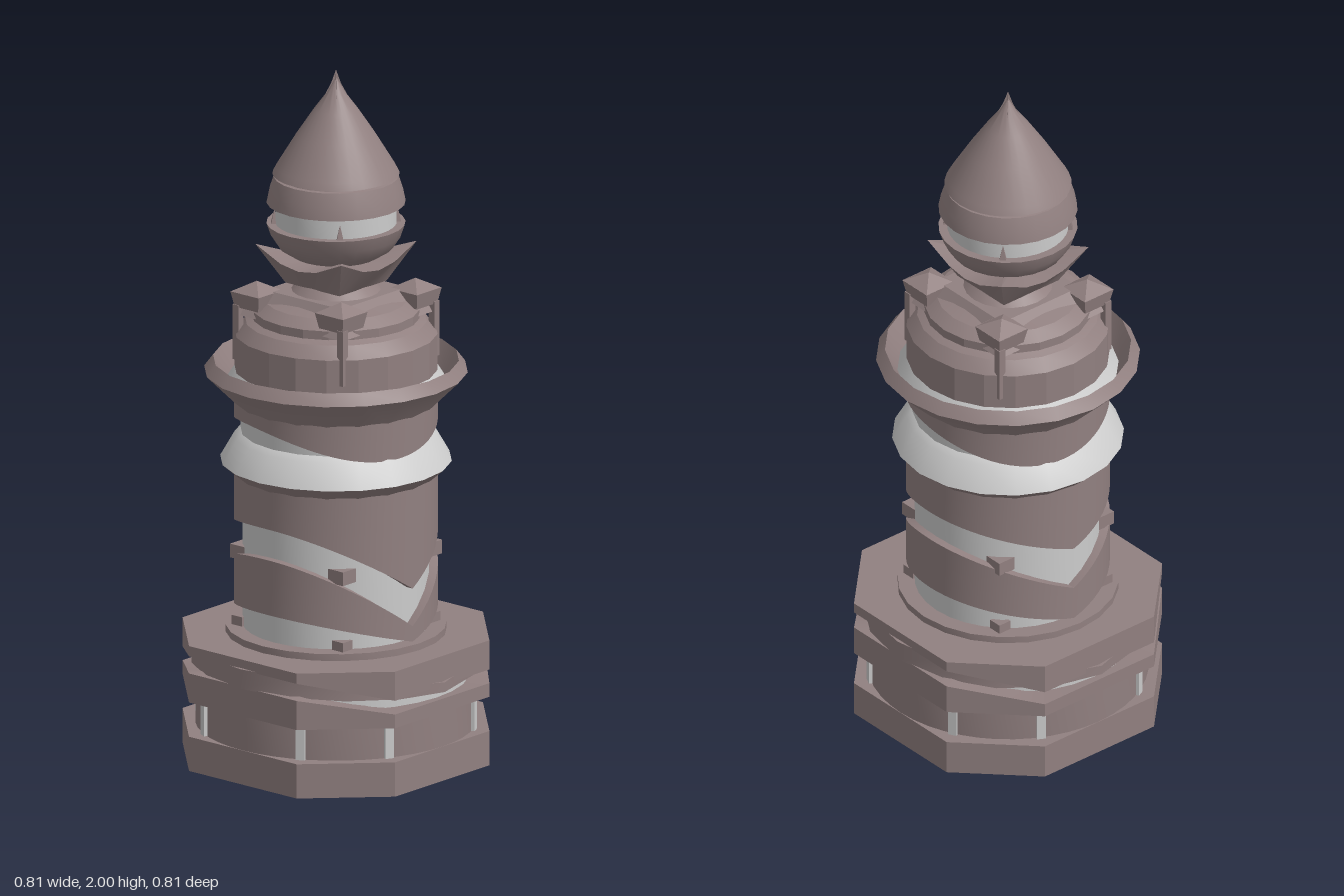
import * as THREE from 'three';
import { toCreasedNormals } from 'three/addons/utils/BufferGeometryUtils.js';

const { sin, cos, abs, max, min, PI } = Math;
const stone = new THREE.MeshStandardMaterial({ color: 0x918080, side: THREE.DoubleSide });
const pale = new THREE.MeshStandardMaterial({ color: 0xcccccc, side: THREE.DoubleSide });

export function createModel() {
  const model = new THREE.Group();

  function add(name, geo, mat = stone, crease = 0.5) {
    const mesh = new THREE.Mesh(toCreasedNormals(geo, crease), mat);
    mesh.name = name;
    model.add(mesh);
    return mesh;
  }

  // Turned part from [radius, y] points, bottom to top
  function turned(name, pts, mat, sides = 20, crease) {
    return add(name, new THREE.LatheGeometry(pts.map(p => new THREE.Vector2(...p)), sides), mat, crease);
  }

  // Ring swept around y; section(angle) gives a closed loop of [radius, y]
  function ring(name, angles, section, mat) {
    const pos = [], idx = [], n = angles.length;
    let m = 0;
    for (const a of angles) {
      const loop = section(a);
      m = loop.length;
      for (const [r, y] of loop) pos.push(r * sin(a), y, r * cos(a));
    }
    for (let i = 0; i < n; i++) for (let j = 0; j < m; j++) {
      const a = i * m + j, b = ((i + 1) % n) * m + j;
      const c = ((i + 1) % n) * m + (j + 1) % m, d = i * m + (j + 1) % m;
      idx.push(a, b, c, a, c, d);
    }
    const geo = new THREE.BufferGeometry();
    geo.setAttribute('position', new THREE.Float32BufferAttribute(pos, 3));
    geo.setIndex(idx);
    return add(name, geo, mat);
  }
  const steps = n => Array.from({ length: n }, (_, i) => i / n * 2 * PI);

  // Octagonal base outline: straight sides at 0.395, corners at 0.2
  const corner = Math.atan2(0.2, 0.395), octAngles = [];
  for (let q = 0; q < 4; q++) {
    const a = q * PI / 2;
    for (let k = 0; k < 6; k++) octAngles.push(a - corner + k / 6 * 2 * corner);
    for (let k = 0; k < 4; k++) octAngles.push(a + corner + k / 4 * (PI / 2 - 2 * corner));
  }
  const oct = a => min(0.395 / max(abs(sin(a)), abs(cos(a))), 0.595 / (abs(sin(a)) + abs(cos(a))));
  const rise = a => min(1, max(0, (oct(a) * abs(sin(a)) - 0.2) / 0.195));

  ring('plinth', octAngles, a => [[0.345, 0], [oct(a), 0], [oct(a), 0.1], [0.345, 0.1]]);
  turned('plinthBand', [[0.285, 0.09], [0.345, 0.09], [0.394, 0.1], [0.394, 0.2], [0.345, 0.2]], stone, 48);
  ring('baseMiddle', octAngles, a => [[0.3, 0.2], [oct(a), 0.2], [oct(a), 0.24 + 0.045 * rise(a)], [0.3, 0.24 + 0.045 * rise(a)]]);
  turned('baseCore', [[0.375, 0.22], [0.375, 0.34]], pale, 32);
  turned('baseInnerWall', [[0.285, 0.09], [0.285, 0.25]], pale, 32);
  turned('baseCeiling', [[0, 0.235], [0.29, 0.235]], stone, 32);
  ring('baseGrooveRing', steps(16), a => {
    const y = 0.262 + 0.02 * abs(sin(a));
    return [[0.34, y], [0.405, y], [0.405, 0.29 + 0.05 * abs(sin(a))], [0.34, 0.29 + 0.05 * abs(sin(a))]];
  });
  ring('baseTop', octAngles, a => {
    const y = 0.28 + 0.055 * rise(a);
    return [[0.26, y], [oct(a), y], [oct(a), 0.365], [0.26, 0.365]];
  });
  // Pale posts at the corners of the plinth band
  for (let q = 0; q < 4; q++) for (const s of [-1, 1]) {
    const a = q * PI / 2 + s * corner;
    const post = add('basePost', new THREE.BoxGeometry(0.026, 0.1, 0.03), pale);
    post.position.set(0.388 * sin(a), 0.15, 0.388 * cos(a));
    post.rotation.y = a;
  }
  turned('towerFoot', [[0.31, 0.36], [0.31, 0.385], [0.25, 0.385]], stone, 24);

  // Tower shaft with winding sheets
  turned('shaftCore', [[0.262, 0.36], [0.262, 0.86]], pale, 32);
  const sweep = (front, side, back) => a => {
    const end = cos(a) > 0 ? front : back;
    return end + (side - end) * abs(sin(a));
  };
  const sheet = (name, low, high) => ring(name, steps(64), a =>
    [[0.255, low(a)], [0.285, low(a)], [0.285, high(a)], [0.255, high(a)]]);
  sheet('lowerWrap', sweep(0.385, 0.47, 0.39), sweep(0.43, 0.63, 0.49));
  sheet('upperWrap', sweep(0.54, 0.72, 0.62), () => 0.85);
  sheet('collarWrap', a => 0.968 - 0.038 * cos(2 * a + 0.6), () => 1.06);
  turned('skirtUnderside', [[0.27, 0.83], [0.285, 0.83], [0.325, 0.865]]);
  turned('skirt', [[0.325, 0.865], [0.285, 0.935], [0.268, 0.95], [0.268, 1.1]], pale);

  // Balcony gutter
  turned('balcony', [[0.275, 1.02], [0.285, 1.04], [0.37, 1.125], [0.345, 1.158], [0.31, 1.09]]);
  turned('balconyFloor', [[0.31, 1.09], [0.285, 1.13]], pale);

  // Upper drum and platform
  turned('upperDrum', [[0.285, 1.04], [0.285, 1.235], [0.255, 1.27], [0.235, 1.28],
    [0.235, 1.305], [0.2, 1.33], [0.14, 1.345], [0.1, 1.385], [0, 1.385]], stone, 20, 0.3);
  const slab = add('platformSlab', new THREE.CylinderGeometry(0.2, 0.28, 0.07, 4));
  slab.position.y = 1.325;
  slab.rotation.y = PI / 4;

  // Corner struts, merlons and small studs on the four diagonals
  const diagonal = (name, geo, d, y, turn = PI / 4) => {
    for (let q = 0; q < 4; q++) {
      const a = PI / 4 + q * PI / 2;
      const m = add(name, geo, stone, 0.2);
      m.position.set(Math.sign(sin(a)) * d, y, Math.sign(cos(a)) * d);
      m.rotation.y = a + turn;
    }
  };
  diagonal('cornerStrut', new THREE.BoxGeometry(0.022, 0.16, 0.022), 0.194, 1.24);
  diagonal('merlon', new THREE.CylinderGeometry(0.074, 0.062, 0.045, 4), 0.157, 1.335, 0);
  diagonal('merlonCap', new THREE.ConeGeometry(0.074, 0.03, 4), 0.157, 1.372, 0);
  diagonal('shaftStud', new THREE.BoxGeometry(0.06, 0.04, 0.06), 0.18, 0.6);
  diagonal('footStud', new THREE.BoxGeometry(0.04, 0.03, 0.04), 0.187, 0.397);
  diagonal('lanternStud', new THREE.ConeGeometry(0.014, 0.045, 4), 0.122, 1.575);

  // Square saddle with raised corners under the lantern
  ring('saddle', steps(16), a => {
    const m = max(abs(sin(a)), abs(cos(a))), lift = (1 / m - 1) / 0.414;
    return [[0.03, 1.38], [0.1 / m, 1.38], [0.16 / m, 1.445 + 0.05 * lift], [0.05, 1.45]];
  });

  // Lantern, roof and spike
  const ball = add('lanternBall', new THREE.SphereGeometry(0.165, 32, 20));
  ball.position.y = 1.622;
  turned('lanternCup', [[0.12, 1.46], [0.16, 1.485], [0.183, 1.52], [0.195, 1.555], [0.16, 1.555]], stone, 24);
  turned('lanternGlass', [[0.17, 1.55], [0.17, 1.62]], pale, 32);
  turned('roofRim', [[0.165, 1.615], [0.195, 1.615], [0.188, 1.65], [0.175, 1.69], [0.165, 1.692]], stone, 24);
  turned('roof', [[0.15, 1.69], [0.178, 1.698], [0.168, 1.718], [0.112, 1.81], [0.062, 1.885],
    [0.027, 1.932], [0.008, 1.965], [0, 1.98]], stone, 32);
  ring('spike', steps(8), a => {
    const r = abs(sin(2 * a)) > 0.5 ? 0.035 : 0.008;
    return [[0, 1.92], [r, 1.92], [r * 0.4, 1.96], [0, 2]];
  });
  return model;
}
